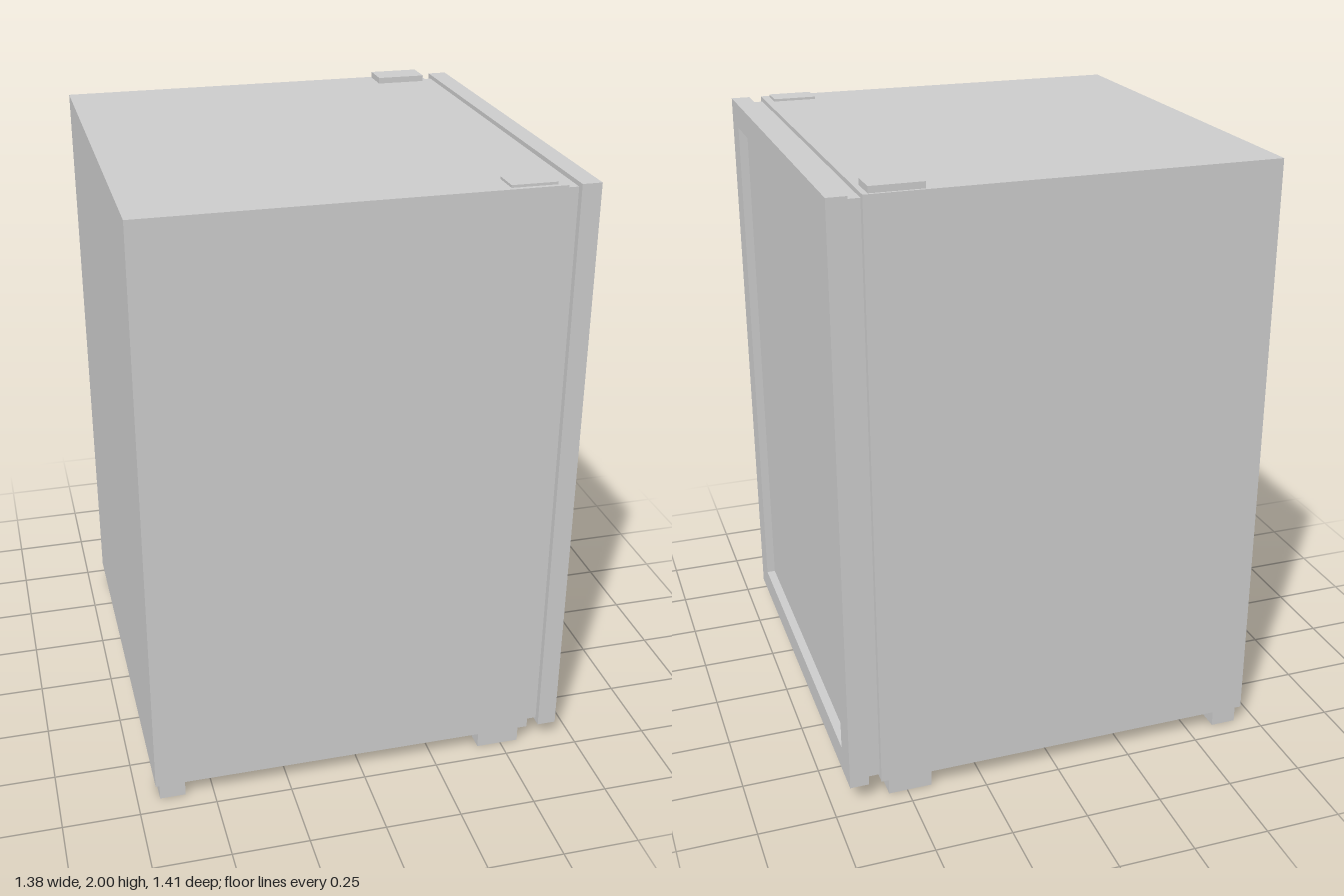
import * as THREE from 'three';

const material = new THREE.MeshStandardMaterial({ color: 0xcccccc });

// Box given by its minimum and maximum on each axis
function box(name, [x0, x1], [y0, y1], [z0, z1]) {
  const mesh = new THREE.Mesh(new THREE.BoxGeometry(x1 - x0, y1 - y0, z1 - z0), material);
  mesh.position.set((x0 + x1) / 2, (y0 + y1) / 2, (z0 + z1) / 2);
  mesh.name = name;
  return mesh;
}

function rectangle(PathType, halfWidth, bottom, top) {
  return new PathType([
    new THREE.Vector2(-halfWidth, bottom),
    new THREE.Vector2(halfWidth, bottom),
    new THREE.Vector2(halfWidth, top),
    new THREE.Vector2(-halfWidth, top),
  ]);
}

// Door facing +x: a rectangular frame around a recessed panel
function createDoor() {
  const door = new THREE.Group();
  door.name = 'door';
  const outline = rectangle(THREE.Shape, 0.703, 0.062, 1.98);
  outline.holes.push(rectangle(THREE.Path, 0.602, 0.148, 1.897));
  const geometry = new THREE.ExtrudeGeometry(outline, { depth: 0.062, bevelEnabled: false });
  geometry.rotateY(Math.PI / 2);
  const frame = new THREE.Mesh(geometry, material);
  frame.position.x = 0.629;
  frame.name = 'doorFrame';
  door.add(frame, box('doorPanel', [0.632, 0.662], [0.148, 1.897], [-0.602, 0.602]));
  return door;
}

export function createModel() {
  const model = new THREE.Group();
  model.name = 'miniFridge';

  // Cabinet, seal and door
  model.add(box('cabinet', [-0.691, 0.588], [0.062, 1.98], [-0.703, 0.703]));
  model.add(box('doorSeal', [0.588, 0.629], [0.076, 1.966], [-0.681, 0.681]));
  model.add(createDoor());

  // Feet: small at the hinge-free end, wider under the door end
  for (const side of [-1, 1]) {
    const z = side > 0 ? [0.598, 0.69] : [-0.69, -0.598];
    model.add(box('rearFoot', [-0.677, -0.593], [0, 0.062], z));
    model.add(box('doorFoot', [0.418, 0.561], [0, 0.062], z));
  }

  // Hinge covers on top
  model.add(box('hingeCover', [0.407, 0.571], [1.98, 2], [-0.694, -0.597]));
  model.add(box('hingeCap', [0.418, 0.561], [1.98, 1.988], [0.598, 0.688]));
  return model;
}
